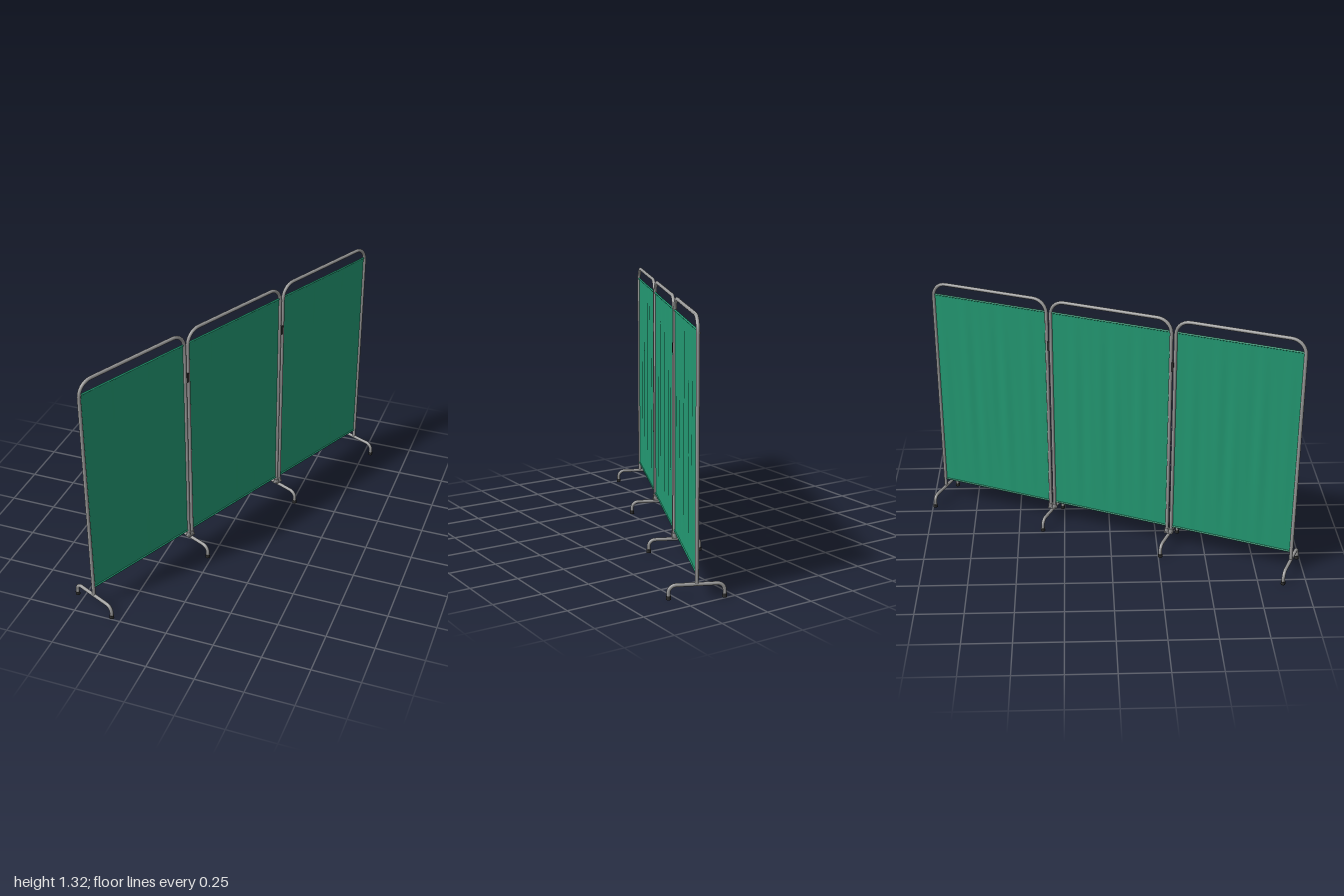
import * as THREE from 'three';

const steel = new THREE.MeshStandardMaterial({ color: 0x999999 });
const rubber = new THREE.MeshStandardMaterial({ color: 0x2a2a2a });
const cloth = new THREE.MeshStandardMaterial({ color: 0x239a73, side: THREE.DoubleSide });

const R = 0.0092;        // tube radius
const JOINT = 0.345;     // middle of the two inner joints
const END = 1.022;       // outer posts
const GAP = 0.0115;      // half the distance between paired posts

function add(parent, name, geometry, material, x = 0, y = 0, z = 0) {
  const mesh = new THREE.Mesh(geometry, material);
  mesh.name = name;
  mesh.position.set(x, y, z);
  parent.add(mesh);
  return mesh;
}

// Upside-down U tube with rounded corners, in the xy plane
function archGeometry(halfWidth, bottom, top, corner, radius) {
  const path = new THREE.CurvePath();
  const v = (x, y) => new THREE.Vector3(x, y, 0);
  const k = corner * 0.4477;
  const w = halfWidth, c = corner;
  path.add(new THREE.LineCurve3(v(-w, bottom), v(-w, top - c)));
  path.add(new THREE.CubicBezierCurve3(v(-w, top - c), v(-w, top - k), v(-w + k, top), v(-w + c, top)));
  path.add(new THREE.LineCurve3(v(-w + c, top), v(w - c, top)));
  path.add(new THREE.CubicBezierCurve3(v(w - c, top), v(w - k, top), v(w, top - k), v(w, top - c)));
  path.add(new THREE.LineCurve3(v(w, top - c), v(w, bottom)));
  return new THREE.TubeGeometry(path, 180, radius, 12);
}

// Softly creased curtain, flat along its hems and sides
function curtainGeometry(width, height, seed) {
  const g = new THREE.PlaneGeometry(width, height, 64, 24);
  const p = g.attributes.position;
  for (let i = 0; i < p.count; i++) {
    const s = p.getX(i) / width + 0.5, t = p.getY(i) / height + 0.5;
    const fade = Math.sin(Math.PI * s) ** 0.5 * (0.25 + 0.75 * Math.sin(Math.PI * t));
    const wave = Math.sin(s * 34 + seed + t * 0.8) + 0.7 * Math.sin(s * 57 + seed * 2 - t * 1.3);
    p.setZ(i, 0.0016 * wave * (fade || 0));
  }
  g.computeVertexNormals();
  return g;
}

function makePanel(x0, x1, seed) {
  const panel = new THREE.Group();
  panel.name = 'panel';
  panel.position.x = (x0 + x1) / 2;
  const width = x1 - x0;
  add(panel, 'frameTube', archGeometry(width / 2, 0.085, 1.313, 0.075, R), steel);
  add(panel, 'curtain', curtainGeometry(width, 1.136, seed), cloth, 0, 0.684);
  // Rolled hems hold the curtain between the posts
  for (const y of [0.119, 1.249]) {
    const hem = add(panel, 'curtainHem', new THREE.CylinderGeometry(0.005, 0.005, width - R, 10), cloth, 0, y);
    hem.rotation.z = Math.PI / 2;
  }
  return panel;
}

function makeFoot(x) {
  const foot = new THREE.Group();
  foot.name = 'foot';
  foot.position.x = x;
  foot.rotation.y = Math.PI / 2;
  add(foot, 'footTube', archGeometry(0.132, 0.012, 0.068, 0.035, R), steel);
  for (const s of [-1, 1]) {
    add(foot, 'rubberCap', new THREE.CylinderGeometry(0.0112, 0.012, 0.018, 16), rubber, s * 0.132, 0.009);
  }
  return foot;
}

export function createModel() {
  const model = new THREE.Group();
  model.name = 'foldingScreen';
  const screen = new THREE.Group();
  screen.name = 'screen';
  screen.rotation.y = Math.atan2(0.933, 0.42);
  model.add(screen);

  // Three framed curtains
  screen.add(makePanel(-END, -JOINT - GAP, 0.4));
  screen.add(makePanel(-JOINT + GAP, JOINT - GAP, 2.1));
  screen.add(makePanel(JOINT + GAP, END, 4.3));

  for (const x of [-END, -JOINT, JOINT, END]) screen.add(makeFoot(x));

  for (const s of [-1, 1]) {
    // Outer posts run down into their feet
    add(screen, 'postFoot', new THREE.CylinderGeometry(R, R, 0.025, 12), steel, s * END, 0.077);
    // Swivel sockets and stem under each joint
    for (const d of [-GAP, GAP]) {
      add(screen, 'socket', new THREE.CylinderGeometry(0.0125, 0.0125, 0.022, 16), steel, s * JOINT + d, 0.093);
    }
    add(screen, 'socketPlate', new THREE.BoxGeometry(0.046, 0.008, 0.025), steel, s * JOINT, 0.08);
    // Dark hinge clip between paired posts
    add(screen, 'hingeClip', new THREE.BoxGeometry(0.014, 0.05, 0.02), rubber, s * JOINT, 1.06);
  }
  return model;
}
